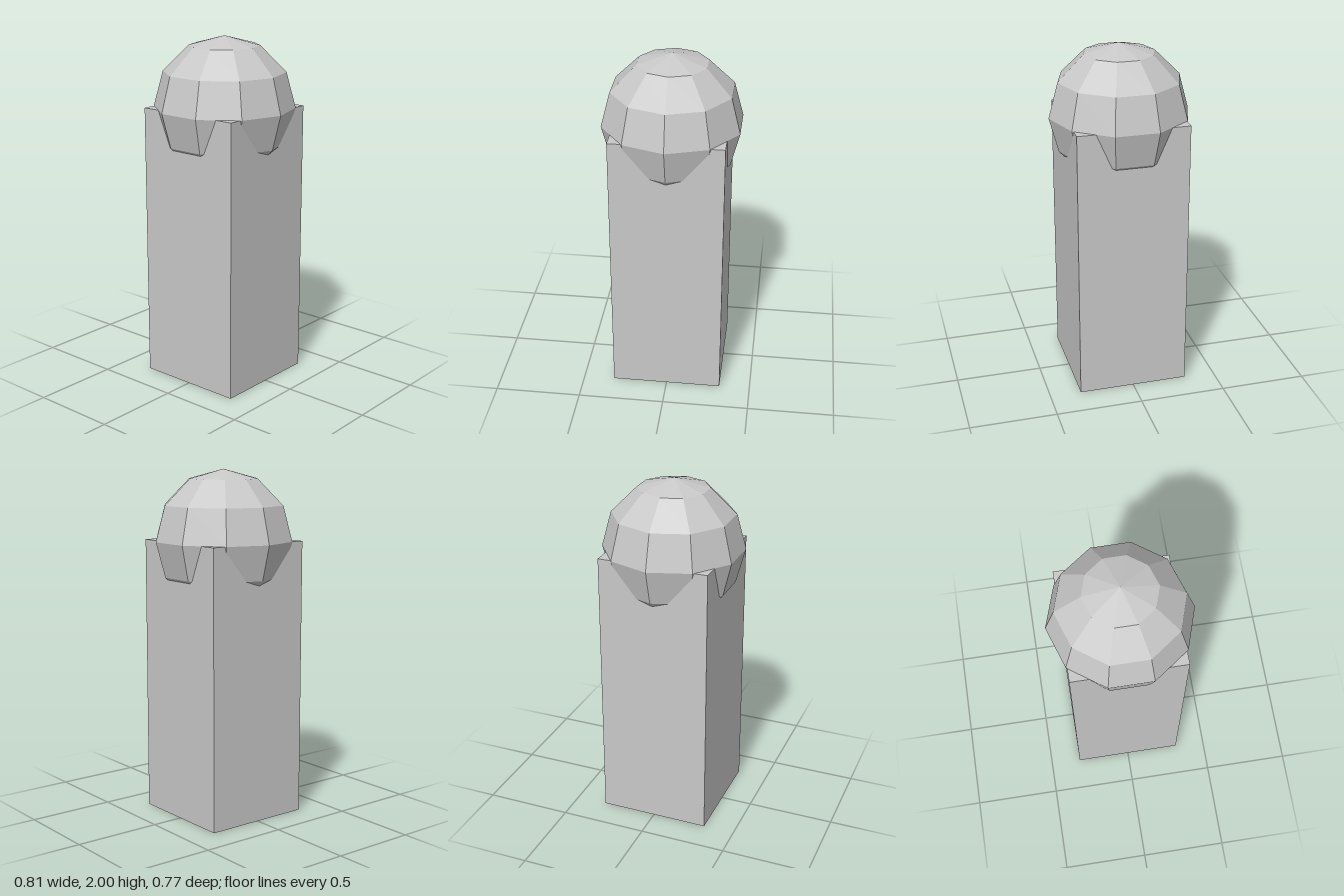
import * as THREE from 'three';

export function createModel() {
  const model = new THREE.Group();
  model.name = 'bollard';

  const stone = new THREE.MeshStandardMaterial({ color: 0xc8c8c8, flatShading: true });
  stone.name = 'light grey stone';

  const radius = 0.403;
  const postHeight = 2 - radius;
  const postWidth = 0.638;

  // Square post
  const post = new THREE.Mesh(new THREE.BoxGeometry(postWidth, postHeight, postWidth), stone);
  post.name = 'post';
  post.position.y = postHeight / 2;

  // Faceted ball, centred on the top face of the post
  const ball = new THREE.Mesh(new THREE.SphereGeometry(radius, 10, 6), stone);
  ball.name = 'ballCap';
  ball.position.y = postHeight;

  model.add(post, ball);
  return model;
}
